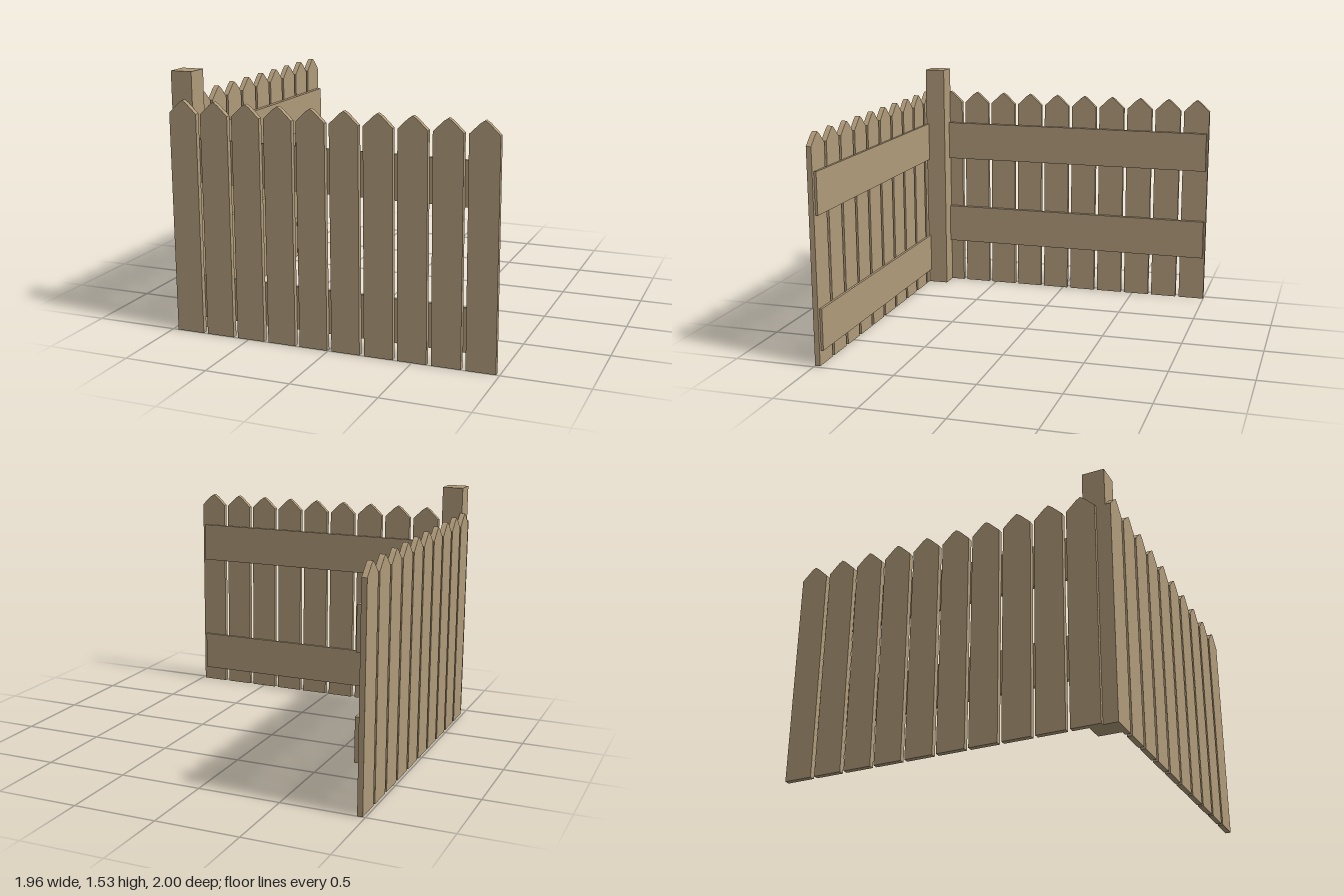
import * as THREE from 'three';

export function createModel() {
  const group = new THREE.Group();
  group.name = 'cornerFence';
  const wood = new THREE.MeshStandardMaterial({ color: 0xb09b7a, flatShading: true });

  function add(parent, geometry, name) {
    const mesh = new THREE.Mesh(geometry, wood);
    mesh.name = name;
    parent.add(mesh);
    return mesh;
  }

  // Box given by its minimum and maximum corners
  function box(parent, name, [x0, y0, z0], [x1, y1, z1]) {
    const mesh = add(parent, new THREE.BoxGeometry(x1 - x0, y1 - y0, z1 - z0), name);
    mesh.position.set((x0 + x1) / 2, (y0 + y1) / 2, (z0 + z1) / 2);
  }

  // Picket outline: straight board with a slightly blunted point
  const half = 0.085;
  const outline = new THREE.Shape([
    [-half, 0], [half, 0], [half, 1.3], [0.024, 1.359],
    [0, 1.375], [-0.024, 1.359], [-half, 1.3],
  ].map(([x, y]) => new THREE.Vector2(x, y)));
  const picket = new THREE.ExtrudeGeometry(outline, { depth: 0.032, bevelEnabled: false });

  // Front panel: ten pickets with two rails behind
  const front = new THREE.Group();
  front.name = 'frontPanel';
  group.add(front);
  for (let i = 0; i < 10; i++) {
    add(front, picket, 'frontPicket').position.set(-0.88 + i * 0.1972, 0, 0.968);
  }
  for (const y of [0.09, 0.9]) {
    box(front, 'frontRail', [-0.835, y, 0.953], [0.96, y + 0.255, 0.968]);
  }

  // Side panel: ten pickets facing outward, rails on the inside
  const side = new THREE.Group();
  side.name = 'sidePanel';
  group.add(side);
  for (let i = 0; i < 10; i++) {
    const mesh = add(side, picket, 'sidePicket');
    mesh.rotation.y = -Math.PI / 2;
    mesh.position.set(-0.953, 0, -0.915 + i * 0.1939);
  }
  for (const y of [0.295, 0.9]) {
    box(side, 'sideRail', [-0.953, y, -0.988], [-0.927, y + 0.255, 0.84]);
  }

  // Corner post joining both panels
  box(group, 'cornerPost', [-0.963, 0, 0.836], [-0.832, 1.535, 0.968]);

  return group;
}
